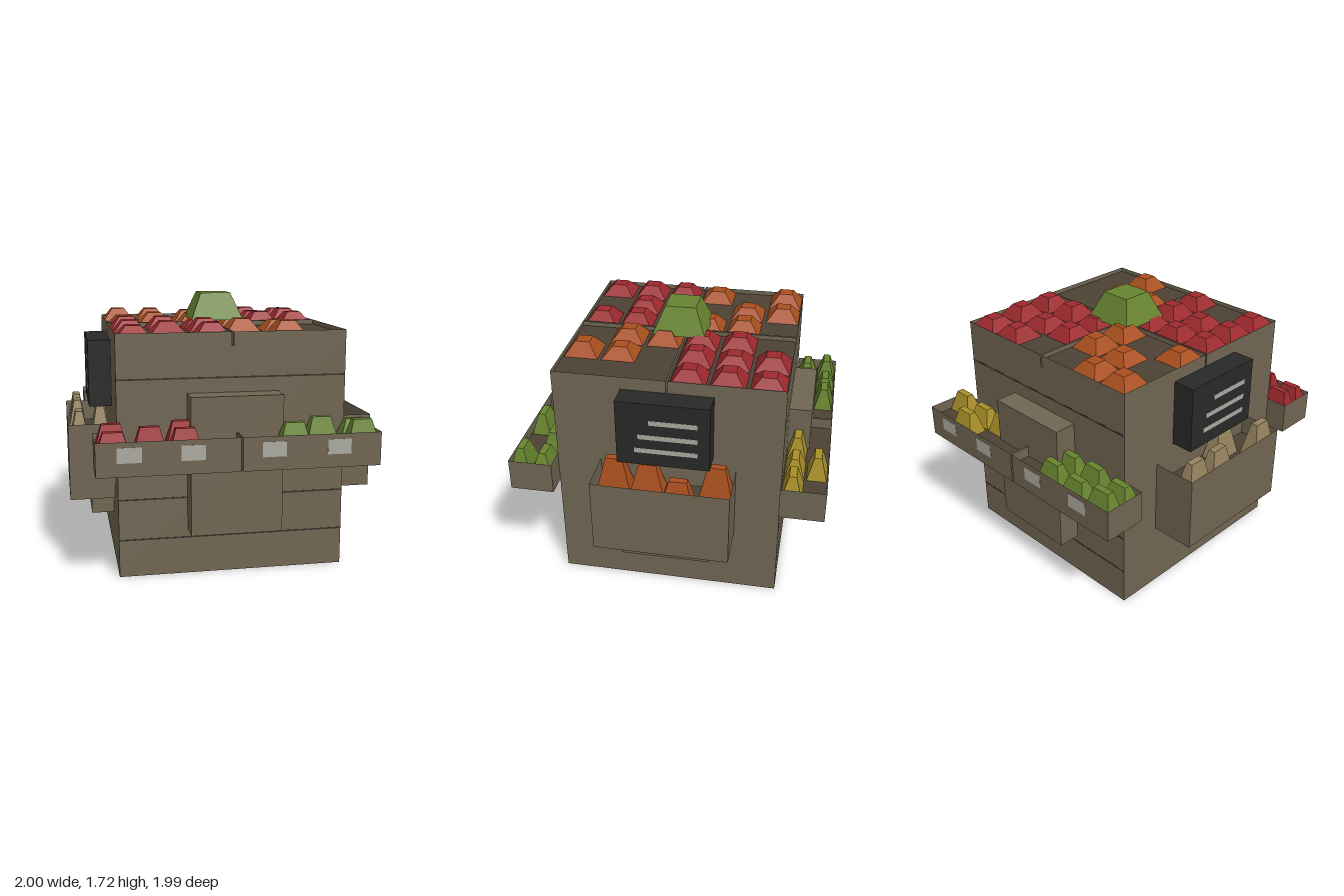
import * as THREE from 'three';

const mat = (name, color, side = THREE.FrontSide) => {
  const m = new THREE.MeshStandardMaterial({ color, side });
  m.name = name;
  return m;
};

export function createModel() {
  const brown = mat('brown wood', 0x706653, THREE.DoubleSide);
  const floorBrown = mat('dark bin floor', 0x4c4234);
  const groove = mat('plank groove', 0x37322a);
  const black = mat('sign black', 0x292929);
  const pale = mat('label grey', 0xacaba1);
  const red = mat('red produce', 0x9d292d);
  const orange = mat('orange produce', 0xaa4f1e);
  const green = mat('green produce', 0x67842f);
  const yellow = mat('yellow produce', 0xa88f29);
  const tan = mat('tan produce', 0x95835f);
  const colours = { r: red, o: orange, g: green, y: yellow, t: tan };

  const model = new THREE.Group();
  model.name = 'produceStand';

  const add = (parent, name, geo, material) => {
    const m = new THREE.Mesh(geo, material);
    m.name = name;
    parent.add(m);
    return m;
  };

  // Box given by its minimum and maximum corners
  const boxGeo = (x0, x1, y0, y1, z0, z1) =>
    new THREE.BoxGeometry(x1 - x0, y1 - y0, z1 - z0)
      .translate((x0 + x1) / 2, (y0 + y1) / 2, (z0 + z1) / 2);

  // Box without its top face, or without top and bottom
  const openGeo = (bounds, removed = 6) => {
    const g = boxGeo(...bounds);
    const idx = Array.from(g.index.array);
    idx.splice(12, removed);
    g.setIndex(idx);
    g.clearGroups();
    return g;
  };

  // Open bin with a recessed dark floor
  const bin = (parent, name, x0, x1, y0, y1, z0, z1, floorY) => {
    const g = new THREE.Group();
    g.name = name;
    parent.add(g);
    add(g, 'binWalls', openGeo([x0, x1, y0, y1, z0, z1]), brown);
    add(g, 'binFloor', new THREE.PlaneGeometry(x1 - x0, z1 - z0)
      .rotateX(-Math.PI / 2)
      .translate((x0 + x1) / 2, floorY, (z0 + z1) / 2), floorBrown);
  };

  // Block whose top is narrower than its base
  const frustumGeo = (w, d, tw, td, h) => {
    const g = new THREE.BoxGeometry(w, h, d).translate(0, h / 2, 0);
    const p = g.attributes.position;
    for (let i = 0; i < p.count; i++) {
      if (p.getY(i) > h / 2) p.setXYZ(i, p.getX(i) * tw / w, h, p.getZ(i) * td / d);
    }
    g.computeVertexNormals();
    return g;
  };

  // Rows of produce, one letter per place; a dot is an empty place
  const produce = (parent, rows, xs, zs, y, size, heights) => {
    rows.forEach((row, j) => [...row].forEach((c, i) => {
      if (c === '.') return;
      const h = heights[(i + j) % heights.length];
      add(parent, 'produce', frustumGeo(...size, h), colours[c]).position.set(xs[i], y, zs[j]);
    }));
  };

  // Hollow cabinet walls under the four display crates
  const B = 0.715;
  add(model, 'cabinet', openGeo([-B, B, 0, 1.435, -B, B], 12), brown);
  for (const [x0, x1] of [[-B, -0.007], [0.005, B]]) {
    for (const [z0, z1] of [[-B, -0.006], [0.006, B]]) {
      bin(model, 'topCrate', x0, x1, 1.435, 1.52, z0, z1, 1.49);
    }
  }

  // Produce on the top
  const six = [-0.6, -0.36, -0.12, 0.122, 0.36, 0.6];
  produce(model, [
    'oo..rr',
    '.oorrr',
    'o.orrr',
    'rrro..',
    'rrroo.',
    'r.r.o.',
  ], six, six, 1.49, [0.215, 0.215, 0.09, 0.09], [0.085, 0.08, 0.07]);
  add(model, 'largeProduce', frustumGeo(0.345, 0.345, 0.2, 0.2, 0.175), green)
    .position.set(0, 1.545, 0.03);

  // Front and back: planks, post, two trays and price labels
  for (const name of ['front', 'back']) {
    const end = new THREE.Group();
    end.name = name + 'Display';
    if (name === 'back') end.rotation.y = Math.PI;
    model.add(end);
    for (const y of [0.237, 0.495, 1.242]) {
      add(end, 'plankGroove', boxGeo(-B, B, y - 0.005, y + 0.005, B - 0.003, B + 0.001), groove);
    }
    add(end, 'post', boxGeo(-0.285, 0.285, 0.29, 1.15, B, 0.86), brown);
    bin(end, 'tray', -0.86, -0.007, 0.72, 0.928, B, 0.995, 0.855);
    bin(end, 'tray', 0.005, 0.86, 0.72, 0.928, B, 0.995, 0.855);
    for (const x of [-0.665, -0.29, 0.197, 0.598]) {
      add(end, 'priceLabel', boxGeo(x - 0.073, x + 0.073, 0.802, 0.894, 0.991, 0.9965), pale);
    }
    const rows = name === 'front' ? ['r.r.gg', 'rrrg.g'] : ['yyyggg', '.y.ggg'];
    produce(end, rows, [-0.755, -0.54, -0.33, 0.33, 0.54, 0.755], [0.785, 0.925],
      0.855, [0.195, 0.125, 0.115, 0.045], [0.14, 0.12, 0.145, 0.13]);
  }

  // Sides: bracket, deep bin, sign board with written-line strips
  for (const name of ['left', 'right']) {
    const side = new THREE.Group();
    side.name = name + 'Display';
    if (name === 'right') side.rotation.y = Math.PI;
    model.add(side);
    add(side, 'bracket', boxGeo(B, 0.86, 0.29, 0.44, -0.285, 0.285), brown);
    bin(side, 'deepBin', B, 1, 0.43, 0.92, -0.43, 0.43, 0.78);
    add(side, 'signBoard', boxGeo(B, 0.86, 1.007, 1.437, -0.287, 0.287), black);
    for (const [y, z] of [[1.308, 0.085], [1.206, 0.152], [1.11, 0.175]]) {
      add(side, 'signStrip', boxGeo(0.857, 0.8615, y - 0.016, y + 0.016, -0.212, z), pale);
    }
    const rows = name === 'left' ? ['o.', '.o', 'o.', 'o.'] : ['.t', 't.', '.t', '.t'];
    produce(side, rows, [0.785, 0.928], [-0.322, -0.108, 0.11, 0.322],
      0.78, [0.125, 0.21, 0.045, 0.11], [0.215, 0.215, 0.187, 0.21]);
  }

  return model;
}
